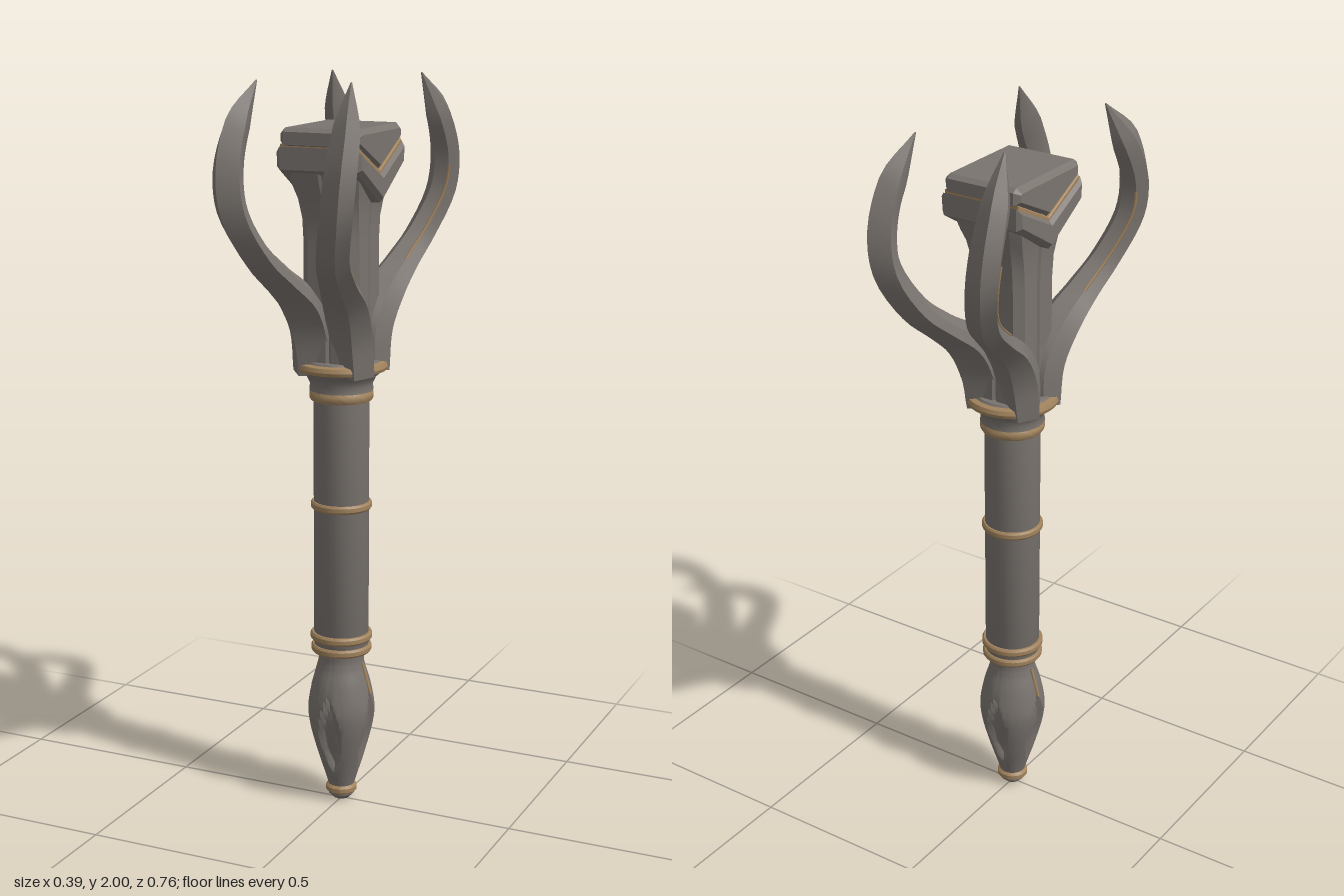
import * as THREE from 'three';
import { toCreasedNormals } from 'three/addons/utils/BufferGeometryUtils.js';

const stone = new THREE.MeshStandardMaterial({ color: 0x7a746f });
stone.name = 'dark stone';
const bronze = new THREE.MeshStandardMaterial({ color: 0xa1835d });
bronze.name = 'worn bronze';

const V = (x, y, z) => new THREE.Vector3(x, y, z);

function add(parent, name, geometry, material) {
  const mesh = new THREE.Mesh(geometry, material);
  mesh.name = name;
  parent.add(mesh);
  return mesh;
}

// Turned part from [radius, height] points, listed bottom to top
function turned(points, segments = 40, crease = 0.6) {
  const geo = new THREE.LatheGeometry(points.map(p => new THREE.Vector2(...p)), segments);
  return toCreasedNormals(geo, crease);
}

// Closed skin over a list of rings, always facing outward
function loft(rings, crease = 0.55) {
  const n = rings[0].length;
  const tris = [];
  for (let i = 0; i < rings.length - 1; i++) {
    for (let j = 0; j < n; j++) {
      const k = (j + 1) % n;
      const a = rings[i][j], b = rings[i][k], c = rings[i + 1][k], d = rings[i + 1][j];
      tris.push([a, b, c], [a, c, d]);
    }
  }
  const centre = ring => ring.reduce((s, p) => s.add(p), V(0, 0, 0)).divideScalar(n);
  const first = rings[0], last = rings[rings.length - 1];
  const c0 = centre(first), c1 = centre(last);
  for (let j = 0; j < n; j++) {
    const k = (j + 1) % n;
    tris.push([c0, first[k], first[j]], [c1, last[j], last[k]]);
  }
  const volume = tris.reduce((s, [a, b, c]) => s + a.dot(b.clone().cross(c)), 0);
  if (volume < 0) tris.forEach(t => t.reverse());
  const geo = new THREE.BufferGeometry().setFromPoints(tris.flat());
  return toCreasedNormals(geo, crease);
}

// Prong centre line and half sizes [x, y, z, half width, half thickness]
const prongStations = [
  [0.060, 1.23, 0.045, 0.058, 0.050],
  [0.062, 1.34, 0.060, 0.058, 0.060],
  [0.070, 1.43, 0.120, 0.060, 0.046],
  [0.085, 1.495, 0.200, 0.050, 0.036],
  [0.107, 1.565, 0.278, 0.044, 0.035],
  [0.143, 1.68, 0.337, 0.043, 0.037],
  [0.155, 1.78, 0.336, 0.041, 0.040],
  [0.152, 1.89, 0.292, 0.034, 0.042],
  [0.130, 2.00, 0.225, 0.002, 0.002],
];
const prongSection = [[0.35, 1], [1, 0.1], [0.55, -0.75], [-0.35, -1], [-0.9, -0.3], [-1, 0.45]];
const prongPath = new THREE.CatmullRomCurve3(prongStations.map(s => V(s[0], s[1], s[2])));
const prongSize = new THREE.CatmullRomCurve3(prongStations.map(s => V(s[3], s[4], 0)));

function prongRing(t, sx, sz) {
  const c = prongPath.getPoint(t), size = prongSize.getPoint(t), dir = prongPath.getTangent(t);
  const len = Math.hypot(dir.y, dir.z);
  return prongSection.map(([u, v]) => V(
    sx * (c.x + u * size.x),
    c.y - v * size.y * dir.z / len,
    sz * (c.z + v * size.y * dir.y / len)));
}

function makeProng(sx, sz) {
  const group = new THREE.Group();
  group.name = 'prong';
  const rings = [];
  for (let i = 0; i <= 32; i++) rings.push(prongRing(i / 32, sx, sz));
  add(group, 'prongBlade', loft(rings), stone);
  // Worn edge along the inside of the curve
  const edge = [];
  for (let i = 0; i <= 10; i++) edge.push(prongRing(0.36 + 0.036 * i, sx, sz)[2]);
  add(group, 'prongEdge', new THREE.TubeGeometry(new THREE.CatmullRomCurve3(edge), 20, 0.004, 5), bronze);
  return group;
}

// Bulb with four leaf-shaped hollows pressed into its sides
function pommelGeometry() {
  const curve = new THREE.CatmullRomCurve3([
    [0.034, 0.04], [0.043, 0.07], [0.068, 0.15], [0.088, 0.23], [0.092, 0.28],
    [0.080, 0.35], [0.063, 0.41], [0.064, 0.45],
  ].map(p => V(p[0], p[1], 0)));
  const geo = new THREE.LatheGeometry(curve.getPoints(42).map(p => new THREE.Vector2(p.x, p.y)), 72);
  const pos = geo.attributes.position;
  for (let i = 0; i < pos.count; i++) {
    const x = pos.getX(i), y = pos.getY(i), z = pos.getZ(i);
    if (y < 0.09 || y > 0.33) continue;
    const across = Math.min(Math.abs(x), Math.abs(z));
    const half = 0.034 * Math.sin(Math.PI * (y - 0.09) / 0.24);
    if (across < half) {
      const r = Math.hypot(x, z), k = 1 - 0.016 * Math.min(1, (half - across) / 0.012) / r;
      pos.setXYZ(i, x * k, y, z * k);
    }
  }
  return toCreasedNormals(geo, 0.6);
}

// Rectangular column with cut corners and a groove down each face
function columnRing(y, hx, hz) {
  const c = 0.022, g = 0.007, quarter = [[hx - g, 0], [hx, g], [hx, hz - c], [hx - c, hz], [g, hz]];
  const back = quarter.slice(1).reverse().map(([x, z]) => [-x, z]);
  const half = [...quarter, [0, hz - g], ...back];
  const other = half.map(([x, z]) => [-x, -z]);
  return [...half, ...other].map(([x, z]) => V(x, y, z));
}

// V-shaped slab lying across x, outlined in z and y
function chevron(points, halfWidth, bevel) {
  const shape = new THREE.Shape(points.map(([z, y]) => new THREE.Vector2(-z, y)));
  const geo = new THREE.ExtrudeGeometry(shape, {
    depth: 2 * (halfWidth - bevel), bevelEnabled: true, bevelSize: bevel,
    bevelThickness: bevel, bevelOffset: -bevel, bevelSegments: 1,
  });
  geo.translate(0, 0, bevel - halfWidth);
  geo.rotateY(Math.PI / 2);
  return geo;
}

export function createModel() {
  const model = new THREE.Group();
  model.name = 'scepter';

  // Pommel
  add(model, 'pommel', pommelGeometry(), stone);
  add(model, 'pommelTip', turned([[0, 0], [0.022, 0.004], [0.036, 0.018], [0.037, 0.028]]), stone);
  add(model, 'pommelTipRing', turned([[0.035, 0.022], [0.043, 0.028], [0.043, 0.04], [0.033, 0.05]]), bronze);
  for (const s of [-1, 1]) {
    const line = new THREE.CatmullRomCurve3([V(s * 0.087, 0.325, 0), V(s * 0.079, 0.353, 0), V(s * 0.063, 0.41, 0)]);
    add(model, 'pommelRib', new THREE.TubeGeometry(line, 8, 0.005, 6), bronze);
  }

  // Shaft and its bands
  add(model, 'shaft', turned([[0.06, 0.43], [0.075, 0.46], [0.075, 1.2]]), stone);
  for (const [y, r, h] of [[0.452, 0.083, 0.022], [0.487, 0.085, 0.022], [0.86, 0.083, 0.022], [1.164, 0.086, 0.026]]) {
    add(model, 'band', turned([[0.07, y - h / 2], [r - 0.004, y - h / 2], [r, y - h / 4],
      [r, y + h / 4], [r - 0.004, y + h / 2], [0.07, y + h / 2]]), bronze);
  }

  // Flared collar
  add(model, 'collar', turned([[0.075, 1.175], [0.086, 1.178], [0.084, 1.195], [0.093, 1.215], [0.112, 1.232]]), stone);
  add(model, 'collarRim', turned([[0.108, 1.23], [0.121, 1.234], [0.124, 1.243], [0.12, 1.254], [0.105, 1.257]]), bronze);
  add(model, 'collarTop', turned([[0.108, 1.25], [0.1, 1.262], [0, 1.262]]), stone);

  // Central column
  add(model, 'column', loft([
    columnRing(1.24, 0.08, 0.085), columnRing(1.58, 0.08, 0.085), columnRing(1.64, 0.081, 0.09),
    columnRing(1.69, 0.086, 0.104), columnRing(1.73, 0.095, 0.122), columnRing(1.78, 0.104, 0.138),
  ], 0.5), stone);

  // Chevron head
  add(model, 'headBand', chevron([[0.145, 1.828], [0.145, 1.77], [0, 1.68], [-0.145, 1.77],
    [-0.145, 1.828], [0, 1.757]], 0.12, 0.012), stone);
  add(model, 'headTrim', chevron([[0.138, 1.836], [0.138, 1.81], [0, 1.735], [-0.138, 1.81],
    [-0.138, 1.836], [0, 1.765]], 0.11, 0.003), bronze);
  add(model, 'headCap', chevron([[0.13, 1.876], [0.143, 1.866], [0.143, 1.833], [0, 1.762],
    [-0.143, 1.833], [-0.143, 1.866], [-0.13, 1.876]], 0.112, 0.014), stone);

  // Four curved prongs
  for (const sx of [-1, 1]) for (const sz of [-1, 1]) model.add(makeProng(sx, sz));

  return model;
}
